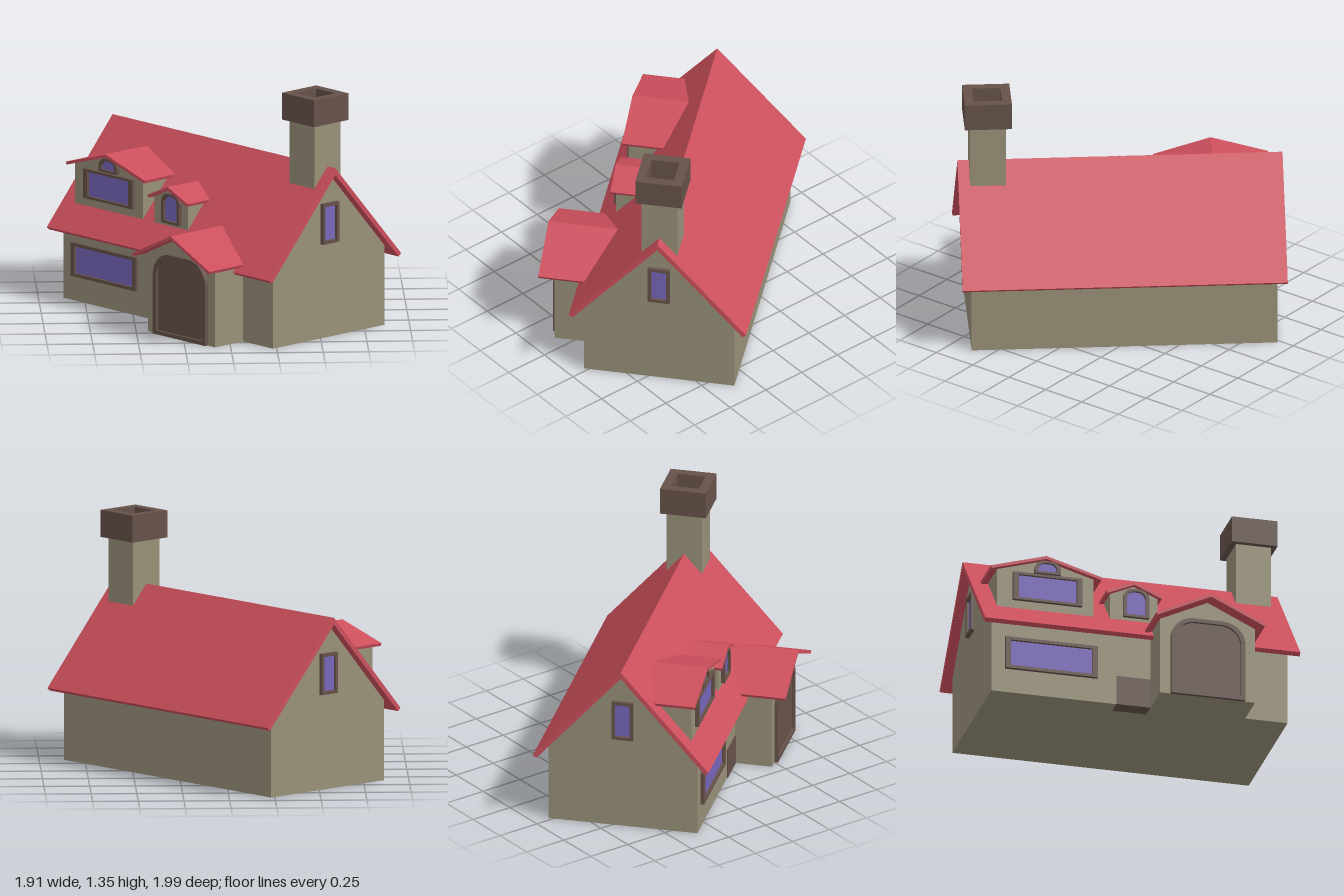
import * as THREE from 'three';

const mat = (color) => new THREE.MeshStandardMaterial({ color, flatShading: true });

export function createModel() {
  const model = new THREE.Group();
  const house = new THREE.Group(); // built along x, dormers facing +z
  house.name = 'house';
  house.rotation.y = -0.86;
  model.add(house);

  const wallMat = mat(0x989078), roofMat = mat(0xcc4f5c);
  const trimMat = mat(0x66524a), glassMat = mat(0x7766bb);

  const add = (parent, name, geo, material, x = 0, y = 0, z = 0) => {
    const m = new THREE.Mesh(geo, material);
    m.name = name;
    m.position.set(x, y, z);
    parent.add(m);
    return m;
  };
  const extrude = (shape, depth) =>
    new THREE.ExtrudeGeometry(shape, { depth, bevelEnabled: false, curveSegments: 5 });
  const poly = (pts) => new THREE.Shape(pts.map(([x, y]) => new THREE.Vector2(x, y)));

  // Gabled block: five-sided wall section
  const gableWall = (w, y0, eave, peak, depth) =>
    extrude(poly([[-w, y0], [w, y0], [w, eave], [0, peak], [-w, eave]]), depth);

  // Two-sided roof: chevron section with thickness t square to the slope
  const gableRoof = (w, eave, peak, t, depth) => {
    const len = Math.hypot(w, peak - eave);
    const dx = t * (peak - eave) / len, dy = t * w / len, low = peak - t * len / w;
    return extrude(poly([[0, peak], [-w, eave], [-w + dx, eave - dy], [0, low],
      [w - dx, eave - dy], [w, eave]]), depth);
  };

  // Opening outline with rounded top corners of radius r
  const outline = (S, w, y0, y1, r) => {
    const s = new S();
    s.moveTo(-w, y0);
    s.lineTo(w, y0);
    s.lineTo(w, y1 - r);
    if (r > 0) s.absarc(w - r, y1 - r, r, 0, Math.PI / 2, false);
    else s.lineTo(w, y1);
    s.lineTo(-w + r, y1);
    if (r > 0) s.absarc(-w + r, y1 - r, r, Math.PI / 2, Math.PI, false);
    s.lineTo(-w, y0);
    return s;
  };

  // Frame with a recessed panel, facing +z
  const opening = (name, { w, y0, y1, r = 0, bx = 0.03, by = 0.018, x = 0, z = 0, turn = 0, panel = glassMat }) => {
    const g = new THREE.Group();
    g.name = name;
    const ri = r > 0 ? r - Math.min(bx, by) * 0.8 : 0;
    const frame = outline(THREE.Shape, w, y0, y1, r);
    frame.holes.push(outline(THREE.Path, w - bx, y0 + by, y1 - by, ri));
    add(g, name + 'Frame', extrude(frame, 0.03), trimMat, 0, 0, -0.01);
    add(g, name + 'Panel', extrude(outline(THREE.Shape, w - bx, y0 + by, y1 - by, ri), 0.015),
      panel, 0, 0, -0.01);
    g.position.set(x, 0, z);
    g.rotation.y = turn;
    house.add(g);
  };

  // Main body and roof
  add(house, 'mainWalls', gableWall(0.418, 0, 0.446, 0.917, 1.674), wallMat, -0.837).rotation.y = Math.PI / 2;
  add(house, 'mainRoof', gableRoof(0.493, 0.4, 0.955, 0.025, 1.78), roofMat, -0.89).rotation.y = Math.PI / 2;

  // Porch and two dormers: walls and roof run back into the main body
  const gables = [
    { name: 'porch', x: 0.33, w: 0.268, y0: 0, front: 0.627, rw: 0.31, eave: 0.443, peak: 0.59, rf: 0.71, back: 0.3 },
    { name: 'largeDormer', x: -0.52, w: 0.272, y0: 0.5, front: 0.374, rw: 0.315, eave: 0.762, peak: 0.855, rf: 0.402, back: 0 },
    { name: 'smallDormer', x: -0.022, w: 0.134, y0: 0.5, front: 0.375, rw: 0.16, eave: 0.688, peak: 0.758, rf: 0.402, back: 0.05 },
  ];
  for (const { name, x, w, y0, front, rw, eave, peak, rf, back } of gables) {
    const slope = (peak - eave) / rw, top = peak - 0.017;
    add(house, name + 'Walls', gableWall(w, y0, top - slope * w, top, front - back), wallMat, x, 0, back);
    add(house, name + 'Roof', gableRoof(rw, eave, peak, 0.017, rf - back), roofMat, x, 0, back);
  }

  // Door and windows
  opening('door', { x: 0.33, z: 0.627, w: 0.21, y0: 0, y1: 0.46, r: 0.13, bx: 0.025, by: 0.022, panel: trimMat });
  opening('groundWindow', { x: -0.5, z: 0.418, w: 0.26, y0: 0.14, y1: 0.328 });
  opening('largeDormerWindow', { x: -0.51, z: 0.374, w: 0.195, y0: 0.58, y1: 0.745, by: 0.014 });
  opening('largeDormerVent', { x: -0.51, z: 0.374, w: 0.073, y0: 0.752, y1: 0.828, r: 0.05, bx: 0.02, by: 0.012 });
  opening('smallDormerWindow', { x: -0.01, z: 0.375, w: 0.073, y0: 0.55, y1: 0.718, r: 0.055, bx: 0.02, by: 0.014 });
  for (const s of [1, -1]) {
    opening('gableWindow', { x: s * 0.837, w: 0.06, y0: 0.528, y1: 0.755, bx: 0.018, turn: s * Math.PI / 2 });
  }

  // Low block beside the porch
  add(house, 'porchBlock', new THREE.BoxGeometry(0.19, 0.17, 0.09), trimMat, -0.035, 0.084, 0.378);

  // Chimney with an open cap
  add(house, 'chimneyShaft', new THREE.BoxGeometry(0.198, 0.5, 0.198), wallMat, 0.728, 0.96, 0);
  const square = (h) => [[-h, -h], [h, -h], [h, h], [-h, h]];
  const cap = poly(square(0.129));
  cap.holes.push(poly(square(0.078)));
  add(house, 'chimneyCap', extrude(cap, 0.15), trimMat, 0.728, 1.2, 0).rotation.x = -Math.PI / 2;

  return model;
}
